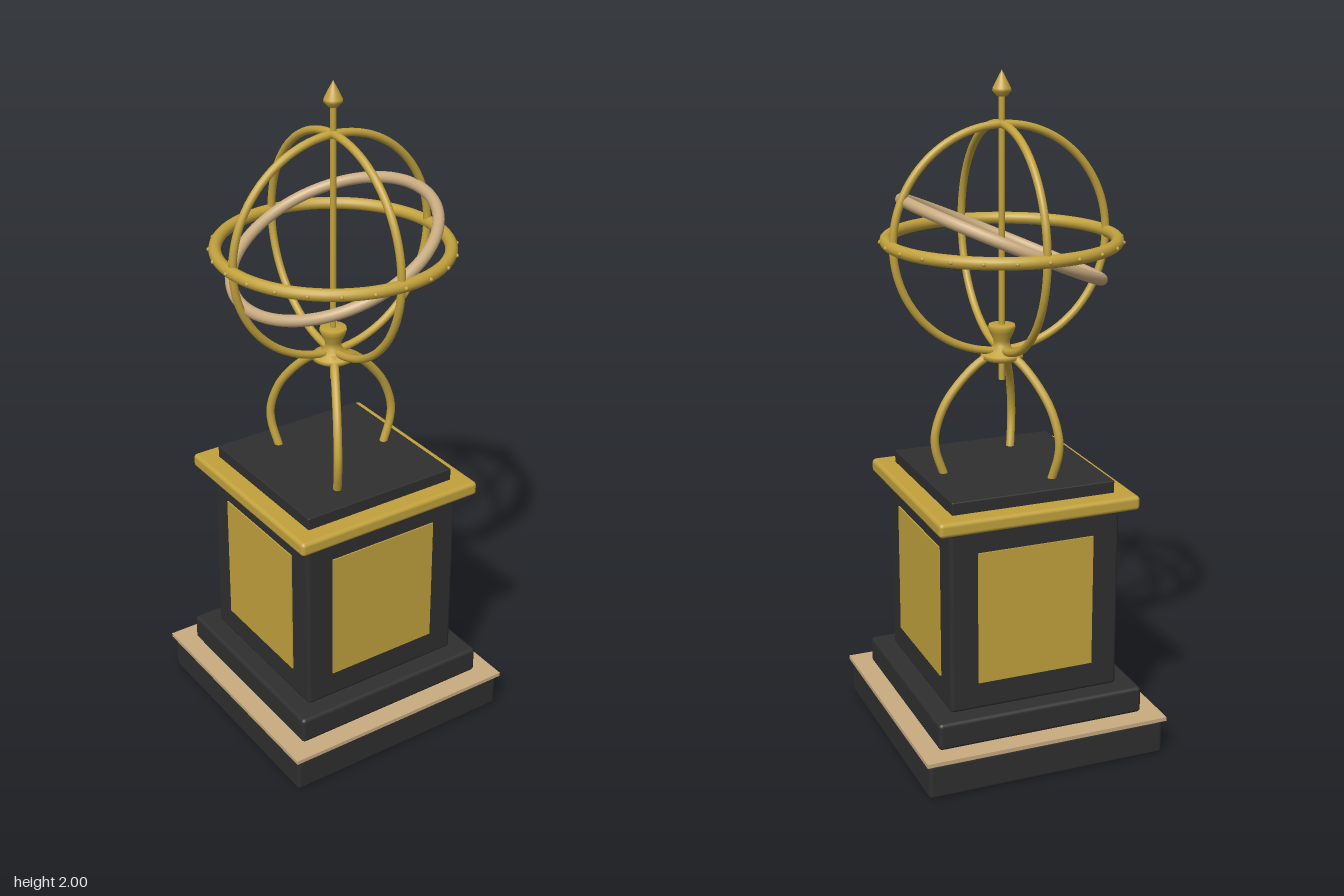
import * as THREE from 'three';
import { RoundedBoxGeometry } from 'three/addons/geometries/RoundedBoxGeometry.js';

export function createModel() {
  const model = new THREE.Group();
  model.name = 'armillarySphereOnPedestal';

  const material = (name, color) => {
    const m = new THREE.MeshStandardMaterial({ color });
    m.name = name;
    return m;
  };
  const gold = material('gold', 0xc2a23d);
  const black = material('black', 0x2f2f2f);
  const tan = material('tan', 0xc8ab80);

  const add = (name, geometry, mat, parent = model) => {
    const mesh = new THREE.Mesh(geometry, mat);
    mesh.name = name;
    parent.add(mesh);
    return mesh;
  };

  // Square block between two heights, with optionally rounded edges
  const block = (name, half, y0, y1, mat, radius = 0) => {
    const h = y1 - y0;
    const geometry = radius
      ? new RoundedBoxGeometry(half * 2, h, half * 2, 3, radius)
      : new THREE.BoxGeometry(half * 2, h, half * 2);
    add(name, geometry, mat).position.y = (y0 + y1) / 2;
  };

  // Pedestal
  block('plinth', 0.37, 0, 0.11, black, 0.012);
  block('plinthTrim', 0.378, 0.108, 0.12, tan);
  block('step', 0.321, 0.12, 0.203, black, 0.012);
  block('pedestalBody', 0.263, 0.2, 0.77, black, 0.012);
  block('cornice', 0.308, 0.765, 0.808, gold, 0.012);
  block('topSlab', 0.251, 0.805, 0.845, black, 0.004);

  // Inlaid panel on each side
  for (let i = 0; i < 4; i++) {
    const a = i * Math.PI / 2;
    const panel = add('sidePanel', new THREE.BoxGeometry(0.358, 0.404, 0.008), gold);
    panel.position.set(Math.sin(a) * 0.263, 0.487, Math.cos(a) * 0.263);
    panel.rotation.y = a;
  }

  // Three bowed legs
  const legCurve = new THREE.CatmullRomCurve3([
    [0.03, 1.19], [0.075, 1.165], [0.135, 1.11], [0.182, 1.045],
    [0.209, 0.965], [0.207, 0.915], [0.183, 0.84],
  ].map(([r, y]) => new THREE.Vector3(r, y, 0)));
  const legGeometry = new THREE.TubeGeometry(legCurve, 40, 0.0125, 12);
  for (let i = 0; i < 3; i++) {
    add('leg', legGeometry, gold).rotation.y = i * Math.PI * 2 / 3;
  }

  // Turned parts on the axis
  const lathe = (name, points) => add(name, new THREE.LatheGeometry(
    points.map(([r, y]) => new THREE.Vector2(r, y)), 32), gold);
  lathe('hub', [[0, 1.172], [0.05, 1.172], [0.063, 1.18], [0.06, 1.19], [0.035, 1.198],
    [0.024, 1.215], [0.024, 1.23], [0.036, 1.255], [0.04, 1.268], [0.038, 1.276], [0, 1.276]]);
  lathe('finial', [[0, 1.925], [0.014, 1.928], [0.027, 1.942], [0.026, 1.95], [0.012, 1.978], [0, 2]]);
  add('axisRod', new THREE.CylinderGeometry(0.009, 0.009, 0.83, 16), gold).position.y = 1.525;

  // Ring sphere
  const sphere = new THREE.Group();
  sphere.name = 'ringSphere';
  sphere.position.y = 1.525;
  model.add(sphere);
  const ring = (name, radius, tube, mat) =>
    add(name, new THREE.TorusGeometry(radius, tube, 14, 96), mat, sphere);
  ring('meridianRing', 0.326, 0.0115, gold);
  ring('crossMeridianRing', 0.326, 0.0115, gold).rotation.y = Math.PI / 2;
  ring('equatorRing', 0.33, 0.018, gold).rotation.x = Math.PI / 2;
  const ecliptic = ring('eclipticRing', 0.307, 0.017, tan);
  ecliptic.rotation.set(Math.PI / 2, THREE.MathUtils.degToRad(23.5), 0, 'ZYX');
  ecliptic.rotation.set(Math.PI / 2, 0, THREE.MathUtils.degToRad(23.5), 'ZYX');

  // Studs around the equator
  const studGeometry = new THREE.SphereGeometry(0.006, 10, 8);
  for (let i = 0; i < 24; i++) {
    const a = i * Math.PI / 12;
    add('equatorStud', studGeometry, gold, sphere)
      .position.set(Math.cos(a) * 0.347, 0, Math.sin(a) * 0.347);
  }
  return model;
}
